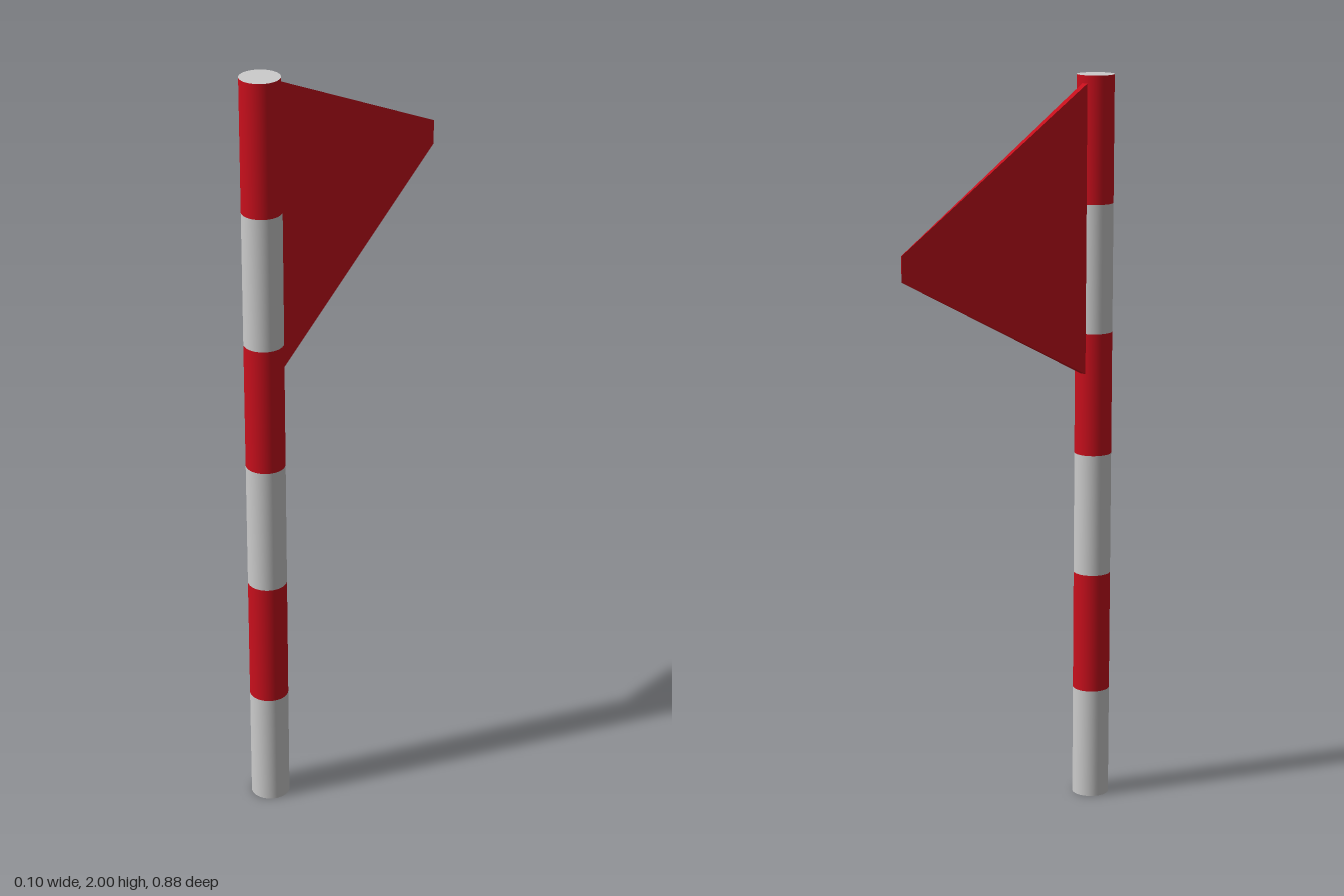
import * as THREE from 'three';

const POLE_Z = 0.388, RADIUS = 0.05, SIDES = 48;

export function createModel() {
  const model = new THREE.Group();
  const red = new THREE.MeshStandardMaterial({ color: 0xc80f1c });
  const grey = new THREE.MeshStandardMaterial({ color: 0xcccccc });
  const add = (name, geometry, material) => {
    const mesh = new THREE.Mesh(geometry, material);
    mesh.name = name;
    model.add(mesh);
    return mesh;
  };

  // Pole: alternating bands stacked from the ground up
  const levels = [0, 0.307, 0.64, 0.977, 1.312, 1.66, 2];
  for (let i = 0; i < levels.length - 1; i++) {
    const h = levels[i + 1] - levels[i];
    const band = add(i % 2 ? 'redBand' : 'greyBand',
      new THREE.CylinderGeometry(RADIUS, RADIUS, h, SIDES, 1, true), i % 2 ? red : grey);
    band.position.set(0, levels[i] + h / 2, POLE_Z);
  }

  // Grey end caps
  for (const [name, y, turn] of [['topCap', 2, -1], ['bottomCap', 0, 1]]) {
    const cap = add(name, new THREE.CircleGeometry(RADIUS, SIDES), grey);
    cap.rotation.x = turn * Math.PI / 2;
    cap.position.set(0, y, POLE_Z);
  }

  // Pennant: a box tapered in height and thickness towards its blunt tip
  const root = { z: 0.345, low: 1.2, high: 1.982, half: 0.008 };
  const tip = { z: -0.438, low: 1.56, high: 1.625, half: 0.0006 };
  const flag = new THREE.BoxGeometry(2, 2, 2);
  const p = flag.attributes.position;
  for (let i = 0; i < p.count; i++) {
    const end = p.getZ(i) > 0 ? root : tip;
    p.setXYZ(i, Math.sign(p.getX(i)) * end.half, p.getY(i) > 0 ? end.high : end.low, end.z);
  }
  flag.computeVertexNormals();
  add('pennant', flag, red);

  return model;
}
